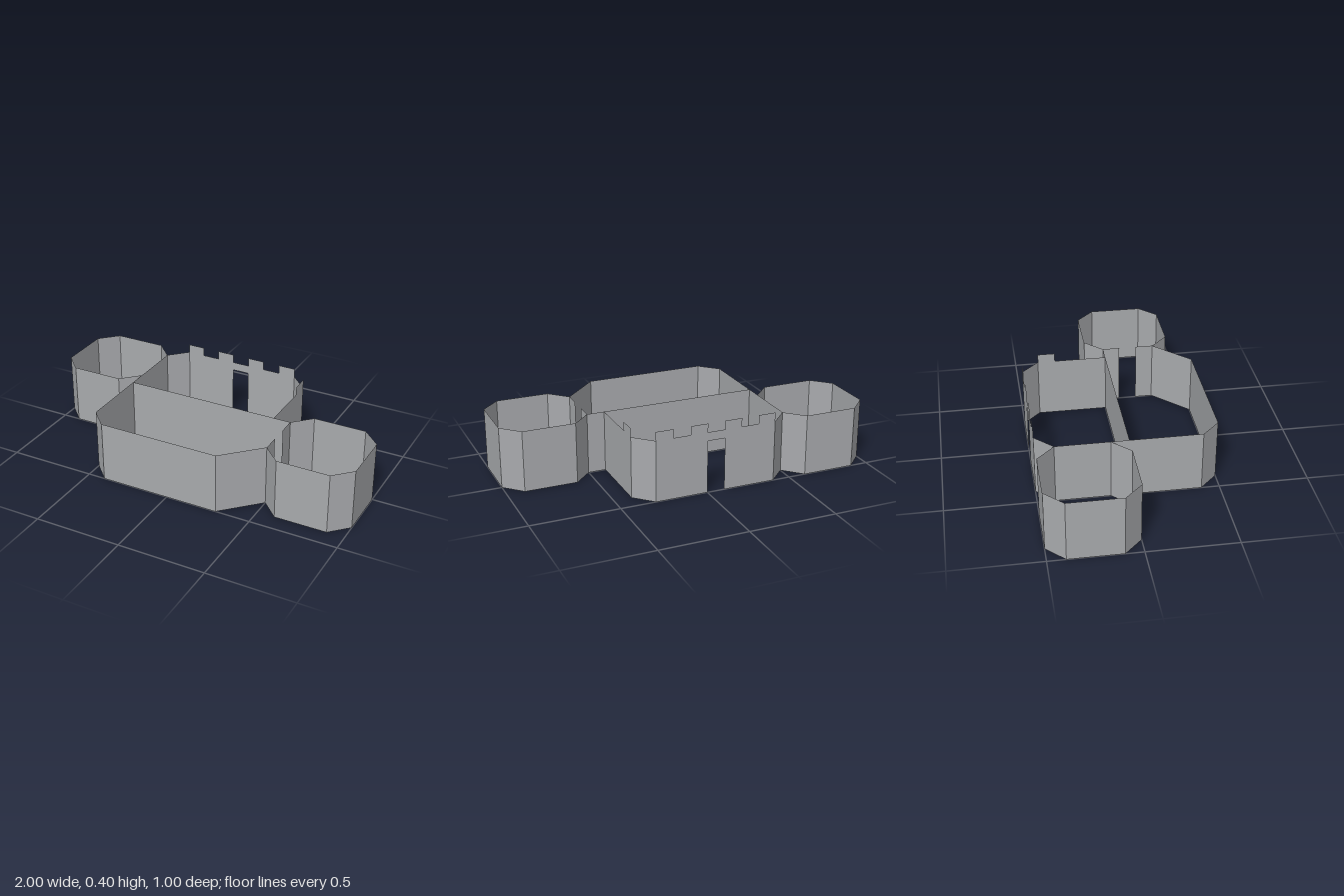
import * as THREE from 'three';

const WALL = 0.35, MERLON = 0.05;

export function createModel() {
  const model = new THREE.Group();
  model.name = 'castleWalls';
  const stone = new THREE.MeshStandardMaterial({ color: 0xa8aaad, side: THREE.DoubleSide });
  stone.name = 'grey stone';

  // Upright sheet between two plan points [x, z], with an outline in (distance, height)
  function sheet(parent, name, a, b, outline) {
    const dx = b[0] - a[0], dz = b[1] - a[1], w = Math.hypot(dx, dz);
    const points = outline || [[0, 0], [w, 0], [w, WALL], [0, WALL]];
    const shape = new THREE.Shape(points.map(([u, v]) => new THREE.Vector2(u, v)));
    const mesh = new THREE.Mesh(new THREE.ShapeGeometry(shape), stone);
    mesh.name = name;
    mesh.position.set(a[0], 0, a[1]);
    mesh.rotation.y = Math.atan2(-dz, dx);
    parent.add(mesh);
  }

  // Run of plain walls through a list of plan points
  function run(name, pts) {
    const group = new THREE.Group();
    group.name = name;
    for (let i = 0; i + 1 < pts.length; i++) sheet(group, name + 'Panel', pts[i], pts[i + 1]);
    model.add(group);
  }

  // Left tower when facing forward, its inner side opening through a narrow gap
  run('leftTower', [[0.5, 0.2], [0.5, 0.3], [0.6, 0.4], [0.9, 0.4], [1, 0.3], [1, 0],
    [0.9, -0.1], [0.6, -0.1], [0.5, 0], [0.5, 0.1]]);

  // Right tower, sharing its inner side with the yard wall
  run('rightTower', [[-0.5, -0.1], [-0.6, 0], [-0.9, 0], [-1, -0.1], [-1, -0.4],
    [-0.9, -0.5], [-0.6, -0.5], [-0.5, -0.4]]);

  // Outer walls of the yard and the wall dividing it
  run('yardWall', [[0.5, 0.3], [0.3, 0.5], [-0.4, 0.5], [-0.5, 0.4], [-0.5, 0],
    [-0.5, -0.4], [-0.4, -0.5]]);
  run('dividingWall', [[-0.5, 0], [0.4, 0], [0.5, 0]]);
  run('cornerWall', [[0.3, -0.5], [0.4, -0.4]]);

  // Back wall: doorway below, merlons along the top
  const top = [];
  for (let i = 0; i < 4; i++) {
    const u = 0.7 - i * 0.2;
    top.push([u, WALL + MERLON], [u - 0.1, WALL + MERLON]);
    if (i < 3) top.push([u - 0.1, WALL], [u - 0.2, WALL]);
  }
  sheet(model, 'gateWall', [-0.4, -0.5], [0.3, -0.5],
    [[0, 0], [0.3, 0], [0.3, 0.3], [0.4, 0.3], [0.4, 0], [0.7, 0], ...top]);

  // Side wall with one merlon at its back end
  sheet(model, 'sideWall', [0.4, -0.4], [0.4, 0],
    [[0, 0], [0.4, 0], [0.4, WALL], [0.1, WALL], [0.1, WALL + MERLON], [0, WALL + MERLON]]);

  return model;
}
